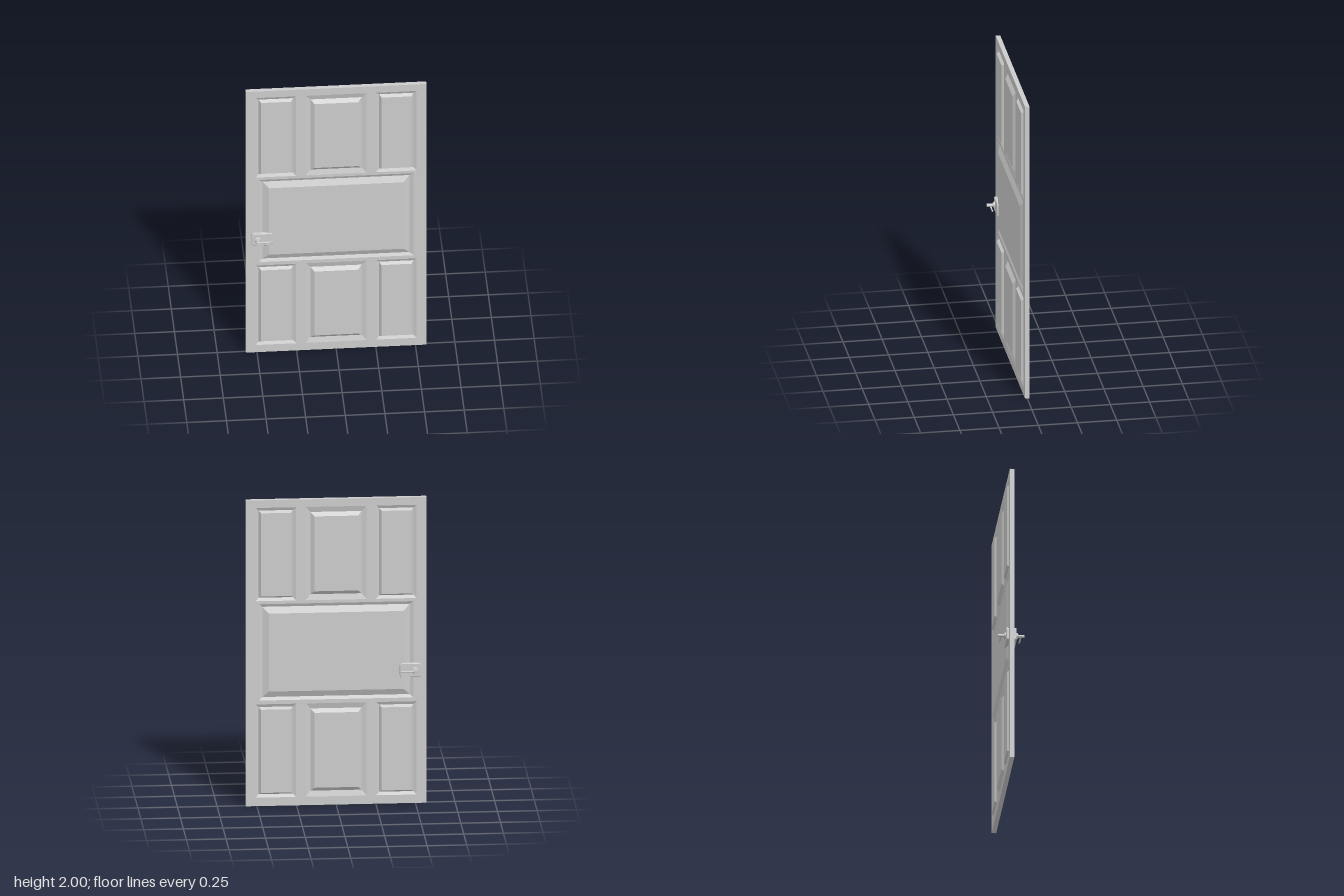
import * as THREE from 'three';

const material = new THREE.MeshStandardMaterial({ color: 0xcccccc, flatShading: true });
const smooth = new THREE.MeshStandardMaterial({ color: 0xcccccc });

const FACE = 0.0145, VALLEY = 0.004, FIELD = 0.024;

function add(parent, name, geometry, mat = material) {
  const mesh = new THREE.Mesh(geometry, mat);
  mesh.name = name;
  parent.add(mesh);
  return mesh;
}

// Panel openings: centre, half size, moulding width and field bevel width
const panels = [];
for (const y of [1.645, 0.36]) {
  for (const x of [-0.38, 0.38]) {
    panels.push({ name: 'sidePanel', x, y, w: 0.128, h: 0.305, mx: 0.02, my: 0.02, b: 0.013 });
  }
  panels.push({ name: 'centrePanel', x: 0, y, w: 0.192, h: 0.305, mx: 0.03, my: 0.036, b: 0.024 });
}
panels.push({ name: 'middlePanel', x: 0, y: 1.005, w: 0.487, h: 0.315, mx: 0.022, my: 0.02, b: 0.04 });

// Stepped rectangles [halfWidth, halfHeight, z], closed by a flat field
function panelGeometry(rings) {
  const pos = [];
  const corners = ([w, h, z]) => [[-w, -h, z], [w, -h, z], [w, h, z], [-w, h, z]];
  const quad = (a, b, c, d) => pos.push(...a, ...b, ...c, ...a, ...c, ...d);
  for (let r = 0; r < rings.length - 1; r++) {
    const o = corners(rings[r]), n = corners(rings[r + 1]);
    for (let i = 0; i < 4; i++) {
      const j = (i + 1) % 4;
      quad(o[i], o[j], n[j], n[i]);
    }
  }
  quad(...corners(rings[rings.length - 1]));
  const g = new THREE.BufferGeometry();
  g.setAttribute('position', new THREE.Float32BufferAttribute(pos, 3));
  g.computeVertexNormals();
  return g;
}

function rectangle(path, x, y, w, h) {
  path.moveTo(x - w, y - h);
  path.lineTo(x + w, y - h);
  path.lineTo(x + w, y + h);
  path.lineTo(x - w, y + h);
  path.closePath();
  return path;
}

function roundedRectangle(w, h, r) {
  const s = new THREE.Shape();
  s.absarc(w - r, h - r, r, 0, Math.PI / 2);
  s.absarc(-w + r, h - r, r, Math.PI / 2, Math.PI);
  s.absarc(-w + r, -h + r, r, Math.PI, Math.PI * 1.5);
  s.absarc(w - r, -h + r, r, Math.PI * 1.5, Math.PI * 2);
  s.closePath();
  return s;
}

function lathe(points, segments = 24) {
  return new THREE.LatheGeometry(points.map(([r, y]) => new THREE.Vector2(r, y)), segments);
}

function createHandle() {
  const handle = new THREE.Group();
  handle.name = 'handle';

  // Rounded backplate
  const plate = new THREE.ExtrudeGeometry(roundedRectangle(0.067, 0.045, 0.015), {
    depth: 0.02, bevelSize: 0.003, bevelOffset: -0.003, bevelThickness: 0.003, bevelSegments: 1, curveSegments: 5,
  });
  add(handle, 'backplate', plate).position.set(0.03, 0, 0.01);

  // Collar and spindle turned about z
  const collar = lathe([[0.021, 0.03], [0.021, 0.039], [0.016, 0.045], [0, 0.045]]);
  add(handle, 'collar', collar).rotation.x = Math.PI / 2;
  const spindle = lathe([[0.010, 0.04], [0.010, 0.083], [0.009, 0.084], [0, 0.084]]);
  add(handle, 'spindle', spindle).rotation.x = Math.PI / 2;

  // Tapering lever with a flared tip, pointing along +x
  const lever = add(handle, 'lever', lathe([
    [0, 0], [0.006, 0], [0.0055, 0.03], [0.004, 0.085], [0.0035, 0.088], [0.006, 0.092], [0.005, 0.096], [0, 0.097],
  ], 16), smooth);
  lever.rotation.z = -Math.PI / 2;
  lever.position.z = 0.063;
  return handle;
}

export function createModel() {
  const door = new THREE.Group();
  door.name = 'door';

  // Slab with an opening for every panel
  const outline = rectangle(new THREE.Shape(), 0, 1, 0.57, 1);
  for (const p of panels) outline.holes.push(rectangle(new THREE.Path(), p.x, p.y, p.w, p.h));
  const slab = new THREE.ExtrudeGeometry(outline, { depth: FACE * 2, bevelEnabled: false });
  add(door, 'slab', slab).position.z = -FACE;

  // Sunk mouldings and raised fields on both faces
  for (const p of panels) {
    const vw = p.w - p.mx, vh = p.h - p.my;
    const geometry = panelGeometry([
      [p.w, p.h, FACE],
      [vw, vh, VALLEY],
      [vw - p.b, vh - p.b, FIELD],
    ]);
    for (const turn of [0, Math.PI]) {
      const mesh = add(door, p.name, geometry);
      mesh.position.set(p.x, p.y, 0);
      mesh.rotation.y = turn;
    }
  }

  // Matching handles on both faces
  for (const turn of [0, Math.PI]) {
    const handle = createHandle();
    handle.position.set(-0.497, 0.873, 0);
    handle.rotation.x = turn;
    door.add(handle);
  }
  return door;
}
